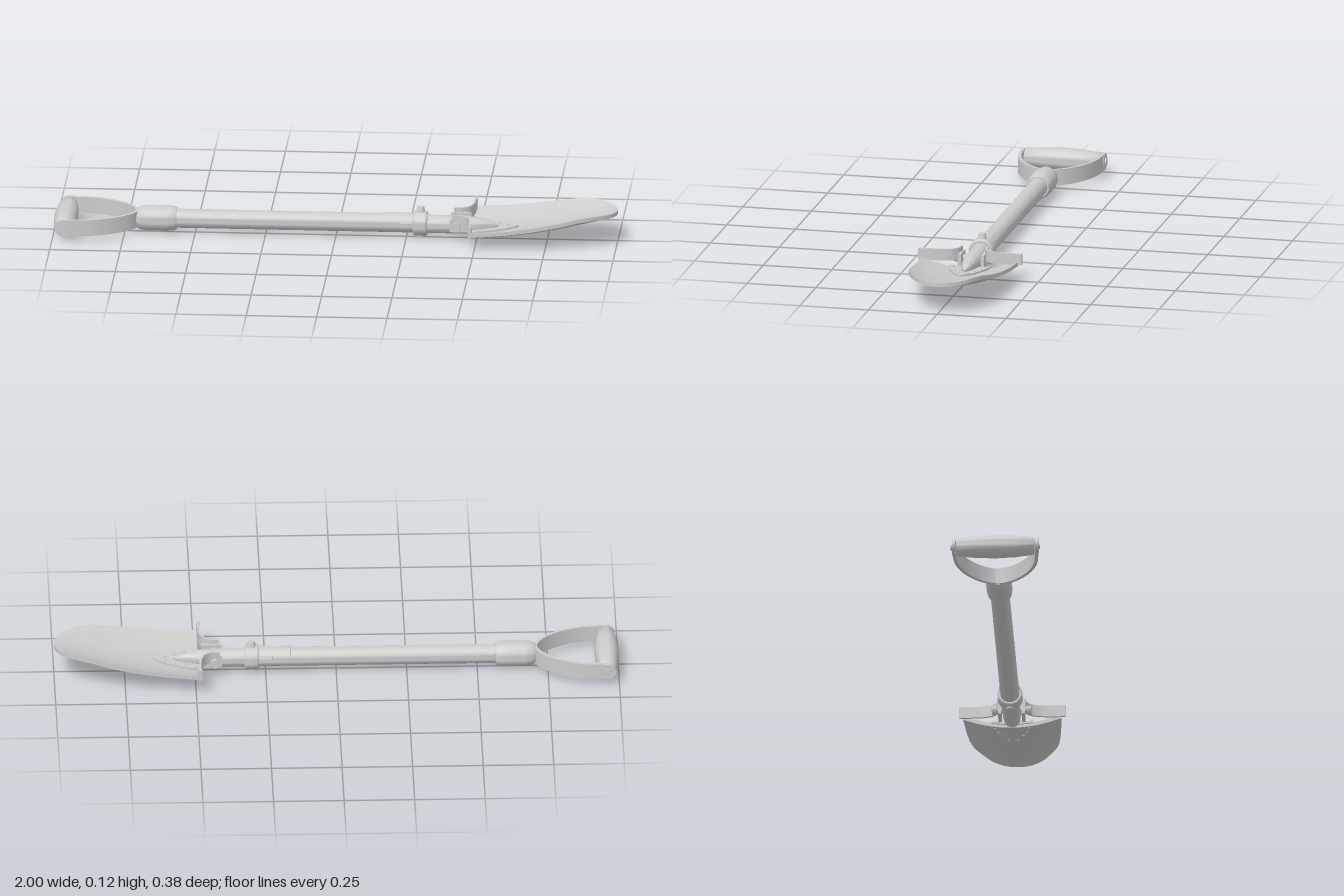
import * as THREE from 'three';
import { toCreasedNormals } from 'three/addons/utils/BufferGeometryUtils.js';

const AXIS = 0.05; // height of the shaft axis
const grey = new THREE.MeshStandardMaterial({ color: 0xcccccc, side: THREE.DoubleSide });

// piecewise linear lookup in [x, value] pairs, with eased joints
function lookup(pairs, x) {
  for (let i = 1; i < pairs.length; i++) {
    const [x0, a] = pairs[i - 1], [x1, b] = pairs[i];
    if (x <= x1) return a + (b - a) * Math.max(0, (x - x0) / (x1 - x0));
  }
  return pairs[pairs.length - 1][1];
}

// blade form: outline, centre height and edge height along x
const X0 = 0.49, LEN = 0.51;
const CENTRE = [[0.49, 0.031], [0.6, 0.039], [0.7, 0.051], [0.8, 0.067], [0.9, 0.089], [1, 0.114]];
const EDGE = [[0.49, 0.066], [0.6, 0.073], [0.7, 0.085], [0.8, 0.102], [0.87, 0.116], [0.92, 0.12], [1, 0.114]];
const bladeHalf = x => {
  const s = Math.min(1, (x - X0) / LEN);
  return Math.max(0.0005, (0.175 - 0.03 * s) * Math.sqrt(Math.max(0, 1 - s ** 5)));
};
const bladeY = (x, z) => {
  const c = lookup(CENTRE, x), t = Math.min(1, Math.abs(z) / bladeHalf(x));
  return c + (lookup(EDGE, x) - c) * t * t;
};

// closed sheet that follows the blade surface between two offsets
function sheet(x0, x1, half, up, down) {
  const n = 36, m = 24, pos = [], idx = [];
  const ringSize = 2 * (m + 1);
  for (let i = 0; i <= n; i++) {
    const x = x0 + (x1 - x0) * Math.sin((i / n) * Math.PI / 2);
    for (let j = 0; j < ringSize; j++) {
      const top = j <= m, k = top ? j : ringSize - 1 - j;
      const z = half(x) * (2 * k / m - 1);
      pos.push(x, bladeY(x, z) + (top ? up : down), z);
    }
  }
  for (let i = 0; i < n; i++) for (let j = 0; j < ringSize; j++) {
    const a = i * ringSize + j, b = i * ringSize + (j + 1) % ringSize;
    idx.push(a, b, a + ringSize, b, b + ringSize, a + ringSize);
  }
  for (let j = 0; j < m; j++) { // rear end
    const a = j, b = j + 1, c = ringSize - 1 - j, d = ringSize - 2 - j;
    idx.push(a, c, b, b, c, d);
  }
  const g = new THREE.BufferGeometry();
  g.setAttribute('position', new THREE.Float32BufferAttribute(pos, 3));
  g.setIndex(idx);
  return toCreasedNormals(g, 0.7);
}

// turned part along x from [x, radius] pairs
function turned(pairs, segs = 32, start = 0, sweep = Math.PI * 2) {
  const g = new THREE.LatheGeometry(pairs.map(([x, r]) => new THREE.Vector2(r, x)), segs, start, sweep);
  return toCreasedNormals(g.rotateZ(-Math.PI / 2), 0.6);
}

// flat strap bent along [x, z] points, standing between two heights
function strap(points, thick, y0, y1) {
  const curve = new THREE.CatmullRomCurve3(points.map(([x, z]) => new THREE.Vector3(x, z, 0)));
  const left = [], right = [], n = 48;
  for (let i = 0; i <= n; i++) {
    const p = curve.getPoint(i / n), t = curve.getTangent(i / n);
    const nx = -t.y * thick / 2, ny = t.x * thick / 2;
    left.push(new THREE.Vector2(p.x + nx, p.y + ny));
    right.unshift(new THREE.Vector2(p.x - nx, p.y - ny));
  }
  const g = new THREE.ExtrudeGeometry(new THREE.Shape([...left, ...right]), { depth: y1 - y0, bevelEnabled: false });
  return toCreasedNormals(g.rotateX(Math.PI / 2).translate(0, y1, 0), 0.6);
}

export function createModel() {
  const model = new THREE.Group();
  const add = (name, geo, x = 0, y = 0, z = 0) => {
    const mesh = new THREE.Mesh(geo, grey);
    mesh.name = name;
    mesh.position.set(x, y, z);
    model.add(mesh);
    return mesh;
  };
  const pinZ = (r, len, segs = 24) => new THREE.CylinderGeometry(r, r, len, segs).rotateX(Math.PI / 2);

  // D-shaped handle: bent strap, barrel grip and end fixings
  const bow = [[-0.96, 0.147], [-0.87, 0.138], [-0.8, 0.112], [-0.745, 0.072], [-0.714, 0.03]];
  const mirrored = bow.map(([x, z]) => [x, -z]).reverse();
  add('handleStrap', strap([...bow, [-0.706, 0], ...mirrored], 0.012, 0.021, 0.079));
  const grip = [[-0.138, 0], [-0.138, 0.028], [-0.132, 0.032], [-0.07, 0.039], [0, 0.042],
    [0.07, 0.039], [0.132, 0.032], [0.138, 0.028], [0.138, 0]];
  add('handleGrip', turned(grip).rotateY(Math.PI / 2), -0.958, AXIS, 0);
  for (const s of [-1, 1]) {
    add('handleStrapEnd', pinZ(0.029, 0.012, 32), -0.96, AXIS, s * 0.147);
    add('handleBolt', pinZ(0.013, 0.008), -0.96, AXIS, s * 0.154);
  }

  // shaft with its grip collar, locking tongue and clamp ring
  add('handleCollar', turned([[-0.708, 0], [-0.708, 0.032], [-0.695, 0.042], [-0.67, 0.046], [-0.6, 0.046],
    [-0.575, 0.044], [-0.565, 0.039], [-0.565, 0]]), 0, AXIS, 0);
  add('shaft', turned([[-0.58, 0], [-0.58, 0.034], [0.3, 0.034], [0.3, 0]]), 0, AXIS, 0);
  add('shaftTongue', turned([[0.16, 0.033], [0.163, 0.037], [0.28, 0.037]], 20, Math.PI * 1.5 - 1.05, 2.1), 0, AXIS, 0);
  add('tongueSlotRim', turned([[0.225, 0.033], [0.227, 0.037], [0.28, 0.037]], 24, Math.PI * 1.5 - 1.4, 2.8), 0, AXIS, 0);
  add('clampRing', turned([[0.274, 0], [0.274, 0.04], [0.279, 0.045], [0.319, 0.045], [0.325, 0.04], [0.325, 0]]), 0, AXIS, 0);
  add('clampBoltTop', new THREE.CylinderGeometry(0.012, 0.017, 0.022, 20), 0.3, 0.101, 0);
  add('clampBoltBottom', new THREE.CylinderGeometry(0.014, 0.012, 0.012, 20), 0.3, 0.006, 0);

  // socket that runs onto the blade and tapers to a point
  add('socket', turned([[0.32, 0], [0.32, 0.033], [0.45, 0.032], [0.49, 0.029], [0.53, 0.022],
    [0.56, 0.013], [0.58, 0]]), 0, AXIS - 0.002, 0);

  // hinge lugs with pin, and a foot tread on each side
  add('hingePin', pinZ(0.011, 0.14), 0.43, 0.056, 0);
  for (const s of [-1, 1]) {
    const frame = new THREE.Shape([[-0.027, -0.023], [0.045, -0.023], [0.045, 0.023], [-0.027, 0.023]]
      .map(p => new THREE.Vector2(...p)));
    frame.holes.push(new THREE.Path().absarc(0, 0, 0.013, 0, Math.PI * 2, true));
    const lug = new THREE.ExtrudeGeometry(frame, { depth: 0.012, bevelEnabled: false }).translate(0, 0, -0.006);
    add('hingeLug', lug, 0.432, 0.056, s * 0.042);
    add('hingeNut', pinZ(0.017, 0.016, 6), 0.43, 0.056, s * 0.062);
    const path = [[0.415, 0.046], [0.447, 0.05], [0.47, 0.068], [0.481, 0.1], [0.484, 0.14], [0.485, 0.187]];
    add('footTread', strap(path.map(([x, z]) => [x, s * z]), 0.008, 0.054, 0.096));
    add('treadEnd', new THREE.BoxGeometry(0.012, 0.04, 0.014), 0.485, 0.076, s * 0.181);
  }

  // dished blade and the riveted plate lying on it
  add('blade', sheet(X0, X0 + LEN, bladeHalf, 0, -0.014));
  const plate = [[0.485, 0.074], [0.51, 0.073], [0.545, 0.063], [0.6, 0.038], [0.635, 0.017], [0.648, 0.001]];
  add('bladePlate', sheet(0.485, 0.648, x => lookup(plate, x), 0.006, -0.003));
  for (const s of [-1, 1]) for (const [x, z] of [[0.505, 0.06], [0.54, 0.05], [0.575, 0.036], [0.61, 0.018]]) {
    add('rivet', new THREE.SphereGeometry(0.006, 12, 8), x, bladeY(x, z) + 0.006, s * z);
    add('rivetUnderside', new THREE.SphereGeometry(0.005, 12, 8), x, bladeY(x, z) - 0.014, s * z);
  }
  return model;
}
